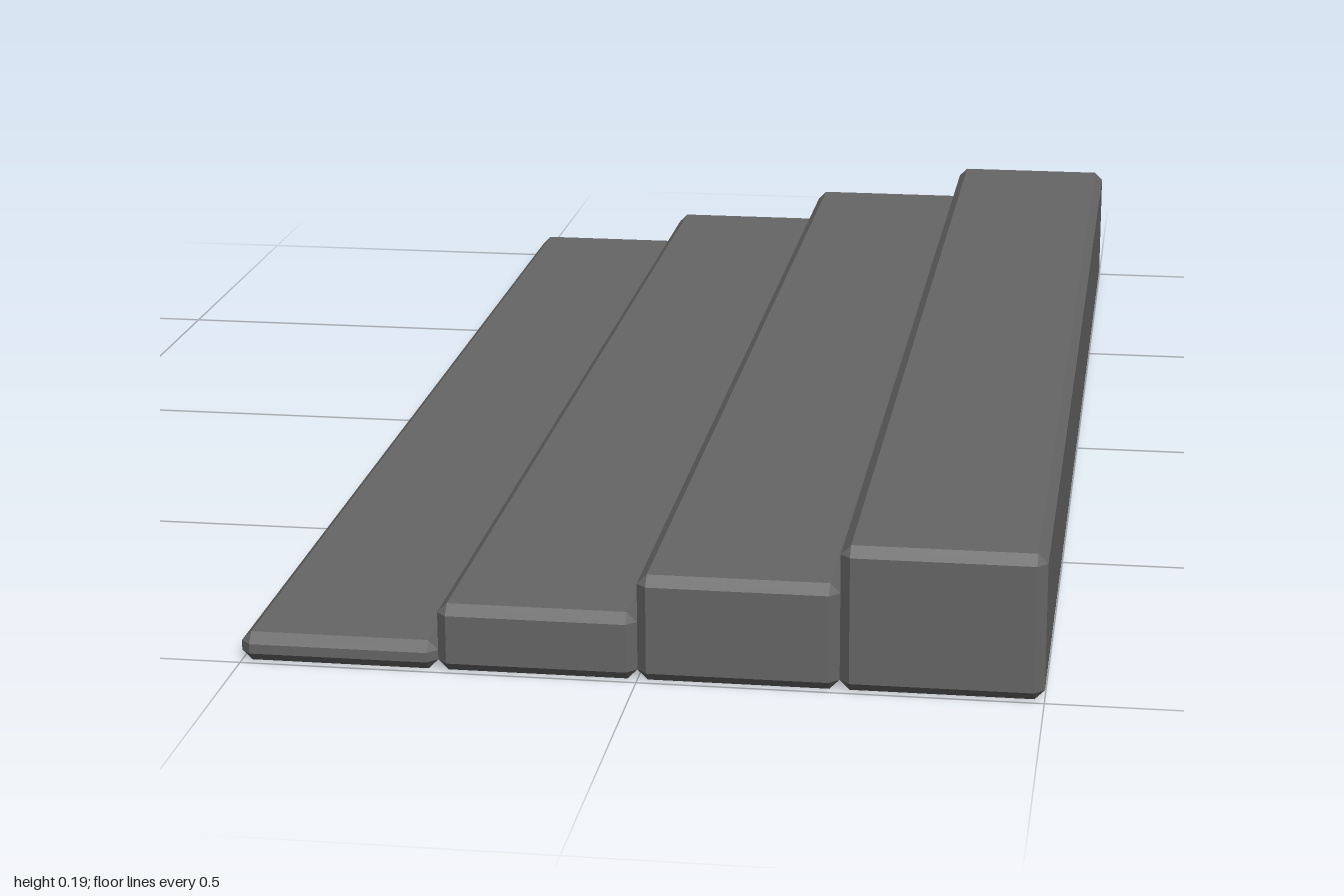
import * as THREE from 'three';
import { ConvexGeometry } from 'three/addons/geometries/ConvexGeometry.js';

// Box with a flat chamfer on every edge: each corner becomes three points
function chamferedBox(w, h, d, c) {
  const points = [];
  for (const sx of [-1, 1]) for (const sy of [-1, 1]) for (const sz of [-1, 1]) {
    const x = w / 2, y = h / 2, z = d / 2;
    points.push(
      new THREE.Vector3(sx * x, sy * (y - c), sz * (z - c)),
      new THREE.Vector3(sx * (x - c), sy * y, sz * (z - c)),
      new THREE.Vector3(sx * (x - c), sy * (y - c), sz * z)
    );
  }
  return new ConvexGeometry(points);
}

export function createModel() {
  const group = new THREE.Group();
  group.name = 'steppedRamp';
  const material = new THREE.MeshStandardMaterial({ color: 0x666666, flatShading: true });

  // Four full-length slabs side by side, rising towards +x
  const width = 0.25, length = 2, chamfer = 0.0125;
  for (let i = 0; i < 4; i++) {
    const height = 0.0375 + i * 0.05;
    const step = new THREE.Mesh(chamferedBox(width, height, length, chamfer), material);
    step.name = `step${i + 1}`;
    step.position.set(-0.375 + i * width, height / 2, 0);
    group.add(step);
  }
  return group;
}
